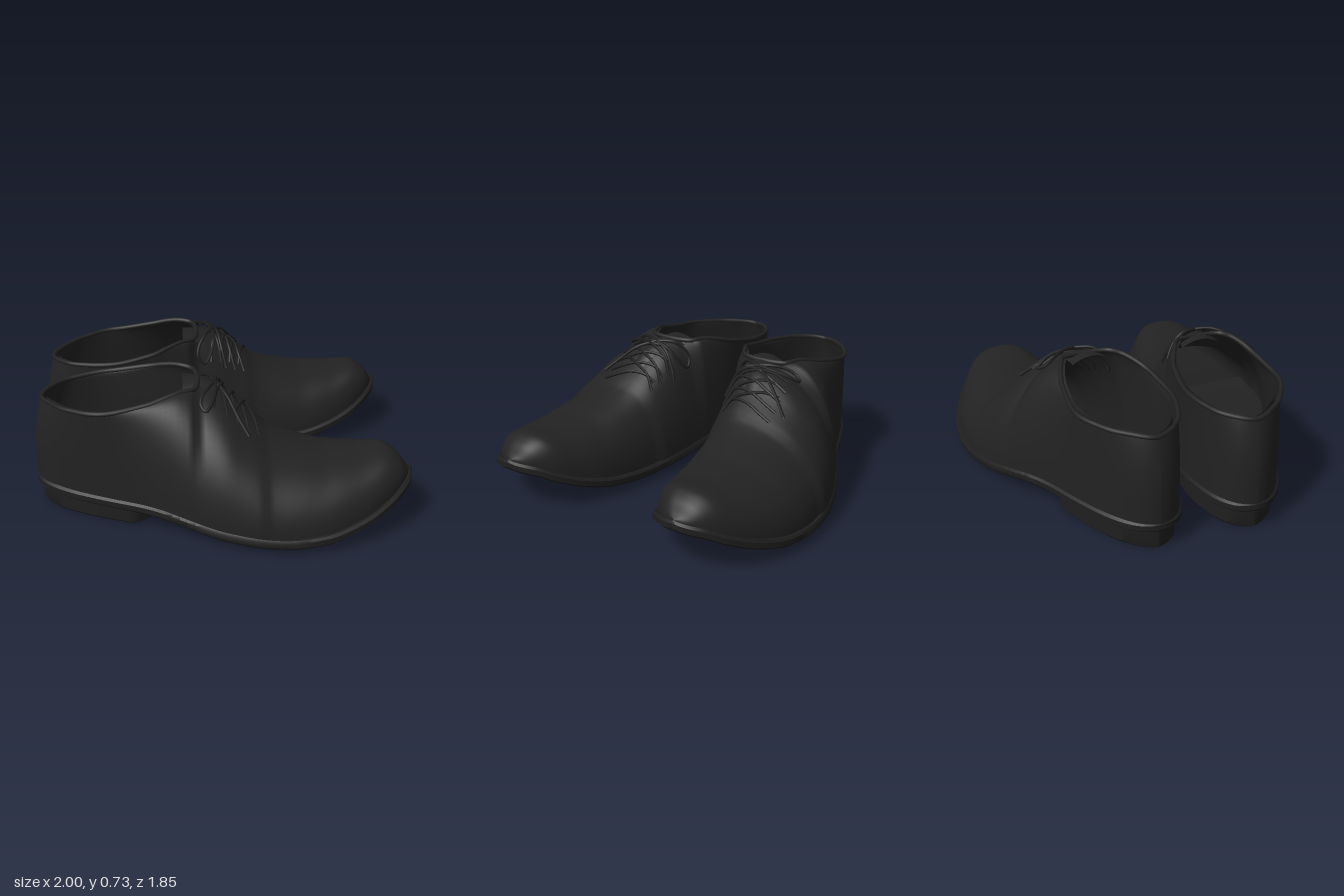
import * as THREE from 'three';
import { mergeGeometries, mergeVertices, toCreasedNormals } from 'three/addons/utils/BufferGeometryUtils.js';

const mat = (name, color) => new THREE.MeshStandardMaterial({ name, color, side: THREE.DoubleSide });
const leather = mat('black leather', 0x222222);
const soleMat = mat('dark sole', 0x1f1f1f);
const laceMat = mat('lace black', 0x1d1d1d);

// Smooth monotone interpolation of [x, value] pairs, rounded at both ends of the shoe
const theta = (x) => Math.acos(THREE.MathUtils.clamp(-x, -1, 1));
function table(...pairs) {
  const t = pairs.map((p) => theta(p[0])), v = pairs.map((p) => p[1]), n = t.length;
  const d = v.slice(1).map((q, i) => (q - v[i]) / (t[i + 1] - t[i]));
  const m = v.map((_, i) => {
    if (i === 0) return d[0];
    if (i === n - 1) return d[n - 2];
    return d[i - 1] * d[i] <= 0 ? 0 : (2 * d[i - 1] * d[i]) / (d[i - 1] + d[i]);
  });
  return (x) => {
    const q = theta(x);
    let i = 0;
    while (i < n - 2 && q > t[i + 1]) i++;
    const h = t[i + 1] - t[i], s = (q - t[i]) / h, s2 = s * s, s3 = s2 * s;
    return (2 * s3 - 3 * s2 + 1) * v[i] + (s3 - 2 * s2 + s) * h * m[i] + (3 * s2 - 2 * s3) * v[i + 1] + (s3 - s2) * h * m[i + 1];
  };
}

// Sole outline, sole underside, crest height, and the edges of the opening
const outer = table([-1, .26], [-.95, .38], [-.8, .49], [-.6, .58], [-.4, .66], [-.2, .775], [0, .865], [.2, .915],
  [.35, .927], [.5, .915], [.7, .855], [.85, .775], [.95, .685], [1, .55]);
const inner = table([-1, .26], [-.95, .14], [-.8, .07], [-.6, .045], [-.4, .06], [-.2, .085], [0, .11], [.2, .135],
  [.4, .165], [.6, .205], [.8, .285], [.9, .355], [.96, .425], [1, .55]);
const under = table([-1, .108], [-.32, .093], [0, .053], [.3, .032], [.5, .045], [.7, .09], [.85, .15], [.95, .205], [1, .23]);
const crest = table([-1, .6], [-.6, .632], [-.4, .665], [-.2, .708], [-.1, .7], [0, .665], [.1, .58], [.25, .475],
  [.4, .42], [.55, .385], [.7, .38], [.85, .395], [.93, .36], [.98, .3], [1, .275]);
const centre = table([-1, .26], [-.2, .31], [0, .36], [.2, .42], [.4, .47], [.6, .51], [1, .55]);
const rimOut = table([-1, .26], [-.95, .36], [-.85, .46], [-.6, .555], [-.4, .54], [-.25, .5], [-.13, .44]);
const rimIn = table([-1, .26], [-.95, .16], [-.85, .09], [-.6, .04], [-.4, .065], [-.25, .13], [-.13, .21]);
const THROAT = -.13;

// Point on the upper: b = 1 outer sole edge, 0 crest or collar, -1 inner sole edge
function upperPoint(x, b, side = Math.sign(b) || 1, lift = 0) {
  const a = (1 - Math.abs(b)) * Math.PI / 2;
  const step = x < .21 ? .012 : 0; // quarters overlap the vamp
  const edge = side > 0 ? outer(x) - .022 + step : inner(x) + .022 - step;
  const end = x < THROAT ? (side > 0 ? rimOut(x) : rimIn(x)) : centre(x);
  const mid = (outer(x) + inner(x)) / 2;
  const e = (edge - mid) * side < 0 ? mid : edge;
  const toe = THREE.MathUtils.smoothstep(x, .2, .8);
  const p = side > 0 ? 1.06 - .22 * toe : .75;
  const base = under(x) + .045;
  const y = base + (crest(x) + step * .6 - base) * Math.sin(a) ** (1 - .1 * toe);
  const z = end + (e - end) * Math.max(0, Math.cos(a)) ** p;
  const back = Math.max(0, (-x - .6) / .4) * Math.max(0, (y - .3) / .3) ** 2 * .05;
  return new THREE.Vector3(x * .985 - (x < -.8 ? .012 * (-x - .8) / .2 : 0) + back, y + lift, z);
}

function createShoe(s) {
  const shoe = new THREE.Group();
  const add = (name, geometry, material) => {
    const mesh = new THREE.Mesh(geometry, material);
    mesh.name = name;
    shoe.add(mesh);
  };
  // Surface from f(u, v); s mirrors it across z
  const grid = (f, nu, nv, flip = false) => {
    const pos = [], idx = [], w = nv + 1;
    for (let i = 0; i <= nu; i++) for (let j = 0; j <= nv; j++) {
      const p = f(i / nu, j / nv);
      pos.push(p.x, p.y, p.z * s);
    }
    for (let i = 0; i < nu; i++) for (let j = 0; j < nv; j++) {
      const a = i * w + j, b = a + w;
      if (flip !== (s < 0)) idx.push(a, b + 1, b, a, a + 1, b + 1);
      else idx.push(a, b, b + 1, a, b + 1, a + 1);
    }
    const g = new THREE.BufferGeometry();
    g.setAttribute('position', new THREE.Float32BufferAttribute(pos, 3));
    g.setIndex(idx);
    return g;
  };
  const smooth = (g) => {
    const m = mergeVertices(g, 1e-4);
    m.computeVertexNormals();
    return m;
  };
  const tube = (pts, r, closed = false) => new THREE.TubeGeometry(
    new THREE.CatmullRomCurve3(pts.map((p) => new THREE.Vector3(p.x, p.y, p.z * s)), closed), pts.length * 6, r, 7, closed);
  const along = (u, from = -1, to = 1) => -Math.cos(theta(from) + (theta(to) - theta(from)) * u);

  // Upper: both flanks welded along the crest
  const flank = (side) => grid((u, v) => upperPoint(along(u), side * (1 - v), side), 100, 18, side < 0);
  add('upper', smooth(mergeGeometries([flank(1), flank(-1)])), leather);

  // Lining: inset walls inside the opening
  const wall = (side) => grid((u, v) => {
    const x = along(u, -1, THROAT - .01), p = upperPoint(x, side * (1 - v) * .9, side);
    p.z += (centre(x) - p.z) * .1;
    p.x += (-.4 - p.x) * .06;
    return p;
  }, 40, 10, side > 0);
  add('lining', smooth(mergeGeometries([wall(1), wall(-1)])), leather);
  add('insole', smooth(grid((u, v) => {
    const x = along(u, -1, .4), m = (outer(x) + inner(x)) / 2;
    return new THREE.Vector3(x * .95, under(x) + .1, m + (outer(x) - inner(x)) * (.5 - v) * .88);
  }, 40, 4)), leather);

  // Rolled collar
  const rim = [];
  for (let i = 0; i <= 18; i++) rim.push(upperPoint(along(i / 18, THROAT - .01, -1), 0, 1));
  for (let i = 1; i <= 18; i++) rim.push(upperPoint(along(i / 18, -1, THROAT - .01), 0, -1));
  add('collar', tube(rim, .013, true), leather);

  // Tongue under the laces
  add('tongue', smooth(grid((u, v) => {
    const x = -.2 + .3 * u, k = 1 - 2 * v;
    return new THREE.Vector3(x, crest(x) + .015 - .035 * k * k, centre(x) + k * (.11 - .04 * u));
  }, 14, 10)), leather);

  // Sole and welt: rounded slab following the toe spring
  const rimLoop = [[-1, .012, 0], [1, .012, 0], [1, 0, .014], [1, 0, .043], [1, .01, .055], [-1, .01, .055], [-1, 0, .043], [-1, 0, .014], [-1, .012, 0]];
  add('sole', toCreasedNormals(grid((u, v) => {
    const x = along(u), [side, inset, h] = rimLoop[Math.round(v * 8)];
    const m = (outer(x) + inner(x)) / 2, half = Math.max(0, (outer(x) - inner(x)) / 2 - inset);
    return new THREE.Vector3(x * (1 - inset), under(x) + h, m + side * half);
  }, 80, 8), .7), soleMat);

  // Heel block with a near-square front and a cut outer corner
  const heelLoop = [[-1, .01, 0], [1, .01, 0], [1, 0, .1], [1, 0, 1], [-1, 0, 1], [-1, 0, .1], [-1, .01, 0]];
  add('heel', toCreasedNormals(grid((u, v) => {
    if (u > .98) return new THREE.Vector3(-.335, .05, .3);
    const [side, inset, h] = heelLoop[Math.round(v * 6)];
    const k = 1 - Math.cos(Math.min(1, u * 30 / 29) * Math.PI / 2);
    const x = -1 + (side > 0 ? .64 : .67) * k;
    const m = (outer(x) + inner(x)) / 2, half = Math.max(0, (outer(x) - inner(x)) / 2 - .022 - inset);
    const z = side > 0 ? Math.min(m + half, .615 - inset - .64 * (x + .5)) : m - half;
    return new THREE.Vector3(x * .97, THREE.MathUtils.lerp(.012 * k, under(x) + .01, h), z);
  }, 30, 6), .6), soleMat);

  // Laces: slanted rows, crossings and a bow, laid on the upper
  const lay = (list, r = .0085) => tube(list.map(([x, b, l]) => upperPoint(x, b, Math.sign(b) || 1, l)), r);
  const laces = [];
  for (let i = 0; i < 4; i++) {
    const x = -.01 + i * .055, o = .27 - i * .02, n = -.42 + i * .04;
    laces.push(lay([[x - .03, n, .004], [x - .02, n / 2, .014], [x, 0, .02], [x + .02, o / 2, .014], [x + .03, o, .004]]));
    if (i < 3) laces.push(lay([[x + .06, n, .004], [x + .03, n / 2, .016], [x + .01, 0, .024], [x - .02, o / 2, .016], [x - .04, o, .004]]));
  }
  // Bow loops hang to either side of the knot, with two loose ends
  laces.push(lay([[-.03, 0, .024], [-.06, .12, .028], [-.1, .23, .03], [-.115, .31, .03], [-.09, .35, .03], [-.05, .25, .03], [-.03, .1, .026], [-.03, 0, .024]]));
  laces.push(lay([[-.03, 0, .024], [-.07, -.15, .025], [-.11, -.3, .018], [-.115, -.4, .015], [-.08, -.46, .015], [-.04, -.35, .018], [-.02, -.15, .024], [-.03, 0, .024]]));
  laces.push(lay([[-.03, 0, .024], [.03, .12, .026], [.08, .22, .018], [.13, .3, .012]]));
  laces.push(lay([[-.03, 0, .024], [0, -.2, .026], [.02, -.4, .015], [.03, -.48, .012]]));
  add('laces', mergeGeometries(laces), laceMat);
  return shoe;
}

export function createModel() {
  const model = new THREE.Group();
  model.name = 'pair of shoes';
  [['frontShoe', 1], ['backShoe', -1]].forEach(([name, s]) => {
    const shoe = createShoe(s);
    shoe.name = name;
    shoe.scale.x = .99;
    shoe.position.x = -s * .01;
    model.add(shoe);
  });
  return model;
}
